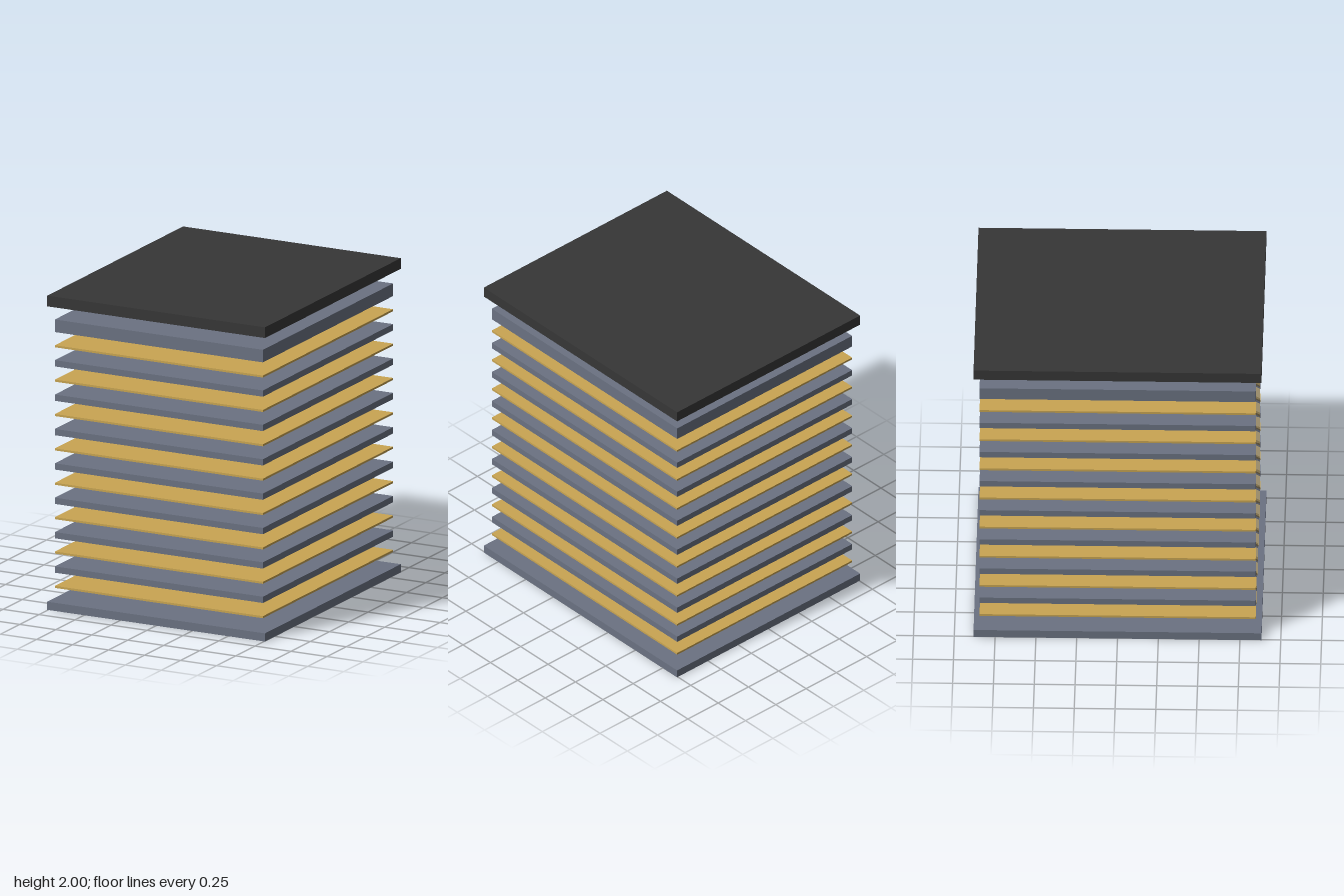
import * as THREE from 'three';

const charcoal = new THREE.MeshStandardMaterial({ color: 0x363636 });
charcoal.name = 'charcoal';
const slate = new THREE.MeshStandardMaterial({ color: 0x6b7282 });
slate.name = 'slate grey';
const brass = new THREE.MeshStandardMaterial({ color: 0xc9a552 });
brass.name = 'brass';

// A flat rectangular plate whose underside sits at the given height
function plate(name, width, depth, thickness, bottom, material) {
  const mesh = new THREE.Mesh(new THREE.BoxGeometry(width, thickness, depth), material);
  mesh.name = name;
  mesh.position.y = bottom + thickness / 2;
  return mesh;
}

export function createModel() {
  const group = new THREE.Group();
  group.name = 'layeredStack';

  const outer = [1.512, 1.764]; // end plates
  const inner = [1.445, 1.692]; // stacked layers
  const pitch = 0.2188;

  // End plates
  group.add(plate('basePlate', ...outer, 0.052, 0, slate));
  group.add(plate('topCover', ...outer, 0.068, 1.932, charcoal));

  // Alternating thin sheets and spacer plates, ending in a thicker plate
  for (let i = 0; i < 8; i++) {
    group.add(plate(`thinSheet${i + 1}`, ...inner, 0.013, 0.135 + i * pitch, brass));
    const thickness = i === 7 ? 0.08 : 0.04;
    const name = i === 7 ? 'upperPlate' : `spacerPlate${i + 1}`;
    group.add(plate(name, ...inner, thickness, 0.232 + i * pitch, slate));
  }
  return group;
}
